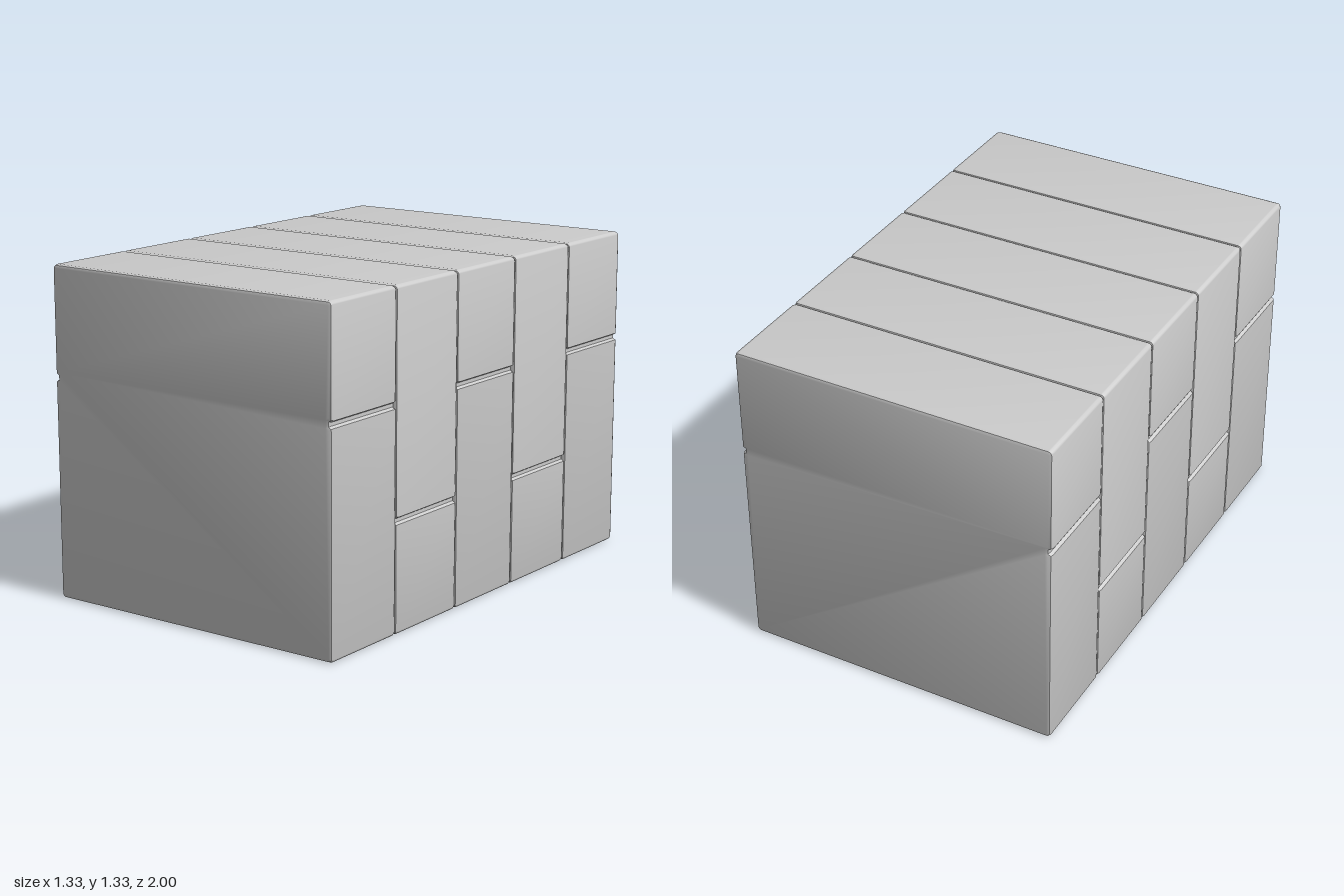
import * as THREE from 'three';
import { toCreasedNormals } from 'three/addons/utils/BufferGeometryUtils.js';

const SIZE = 1.33, DEPTH = 0.4, BEVEL = 0.015, COUNT = 5;

// Square slab outline with softened corners and a shallow groove on both sides
function slabOutline(grooveY) {
  const w = SIZE / 2, r = 0.018, g = 0.014, d = 0.012;
  const s = new THREE.Shape();
  s.moveTo(-w + r, 0);
  s.lineTo(w - r, 0);
  s.absarc(w - r, r, r, -Math.PI / 2, 0);
  s.lineTo(w, grooveY - g);
  s.lineTo(w - d, grooveY - g / 2);
  s.lineTo(w - d, grooveY + g / 2);
  s.lineTo(w, grooveY + g);
  s.lineTo(w, SIZE - r);
  s.absarc(w - r, SIZE - r, r, 0, Math.PI / 2);
  s.lineTo(-w + r, SIZE);
  s.absarc(-w + r, SIZE - r, r, Math.PI / 2, Math.PI);
  s.lineTo(-w, grooveY + g);
  s.lineTo(-w + d, grooveY + g / 2);
  s.lineTo(-w + d, grooveY - g / 2);
  s.lineTo(-w, grooveY - g);
  s.lineTo(-w, r);
  s.absarc(-w + r, r, r, Math.PI, Math.PI * 1.5);
  return s;
}

function slabGeometry(grooveY) {
  const geometry = new THREE.ExtrudeGeometry(slabOutline(grooveY), {
    depth: DEPTH - 2 * BEVEL, curveSegments: 3,
    bevelEnabled: true, bevelThickness: BEVEL, bevelSize: BEVEL,
    bevelOffset: -BEVEL, bevelSegments: 2,
  });
  geometry.translate(0, 0, -DEPTH / 2 + BEVEL);
  return toCreasedNormals(geometry, 0.6);
}

export function createModel() {
  const model = new THREE.Group();
  model.name = 'blockStack';
  const material = new THREE.MeshStandardMaterial({ color: 0xcccccc });

  // Groove height alternates between two thirds and one third of the slab
  const geometries = [slabGeometry(SIZE * 2 / 3), slabGeometry(SIZE / 3)];
  for (let i = 0; i < COUNT; i++) {
    const slab = new THREE.Mesh(geometries[i % 2], material);
    slab.name = `slab${i + 1}`;
    slab.position.z = (i - (COUNT - 1) / 2) * DEPTH;
    model.add(slab);
  }
  return model;
}
